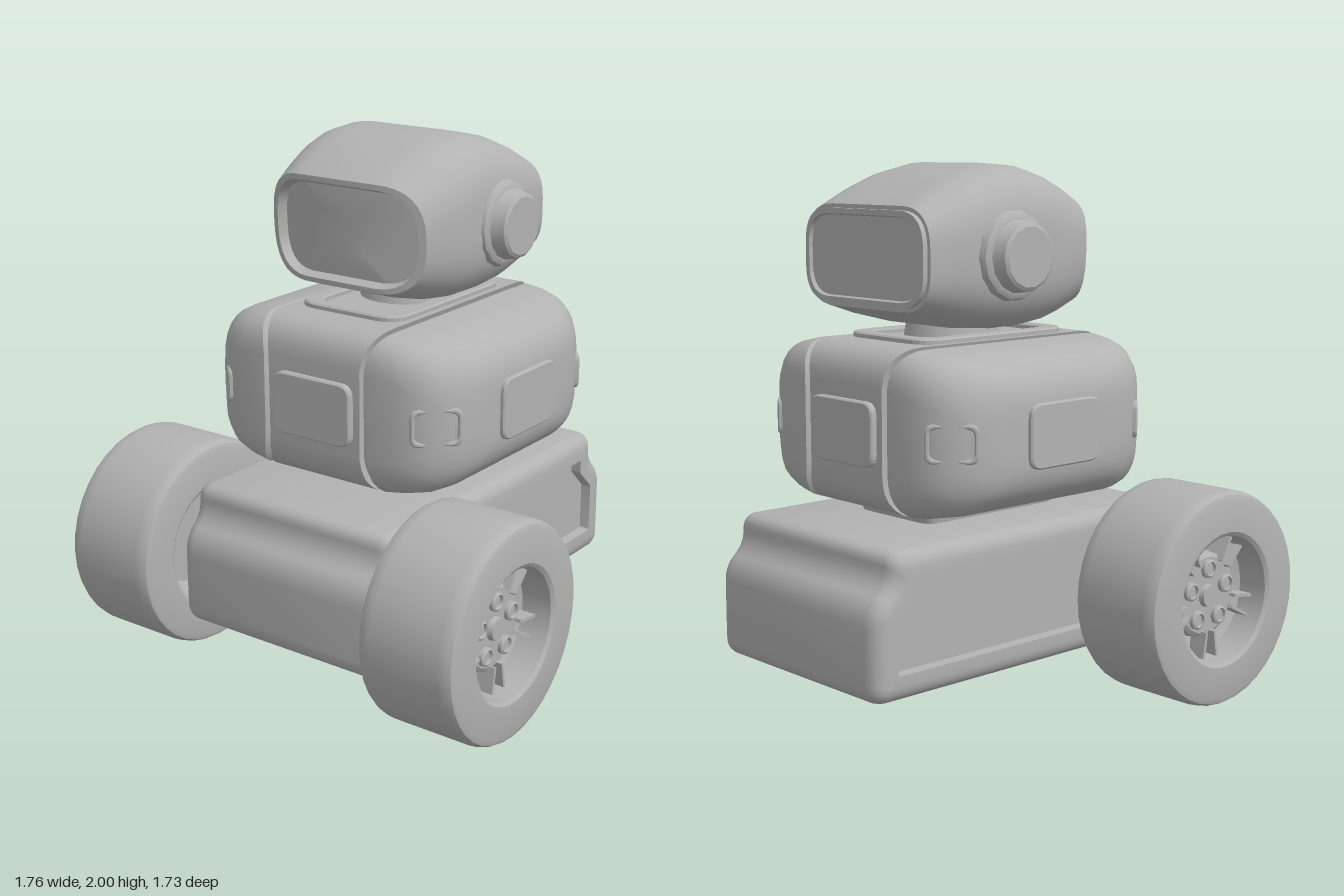
import * as THREE from 'three';
import { toCreasedNormals } from 'three/addons/utils/BufferGeometryUtils.js';

const shell = new THREE.MeshStandardMaterial({ color: 0xb2b2b2 });
shell.name = 'grey shell';
const CZ = -0.08; // middle of the body and base along z

// Polygon with every corner rounded by a quadratic curve
function roundPoly(pts, r, n = 6) {
  const out = [];
  pts.forEach((p, i) => {
    const a = pts[(i + pts.length - 1) % pts.length], b = pts[(i + 1) % pts.length];
    const toward = (q) => {
      const d = q.clone().sub(p), len = d.length();
      return p.clone().addScaledVector(d, Math.min(r, len * 0.49) / len);
    };
    out.push(...new THREE.QuadraticBezierCurve(toward(a), p, toward(b)).getPoints(n));
  });
  return out;
}

const V2 = (x, y) => new THREE.Vector2(x, y);
const rect = (hw, y0, y1, r, n) => roundPoly([V2(-hw, y0), V2(hw, y0), V2(hw, y1), V2(-hw, y1)], r, n);

// Move every edge of a counterclockwise polygon inward
function inset(pts, d) {
  return pts.map((p, i) => {
    const a = pts[(i + pts.length - 1) % pts.length], b = pts[(i + 1) % pts.length];
    const e = p.clone().sub(a).normalize(), f = b.clone().sub(p).normalize();
    const m = V2(-e.y - f.y, e.x + f.x);
    return p.clone().addScaledVector(m, d / (1 + e.dot(f)));
  });
}

// Closed solid through a list of equally long loops of Vector3
function loft(rings, angle = 0.6) {
  const n = rings[0].length, all = rings.flat(), idx = [];
  for (let i = 0; i < rings.length - 1; i++) for (let j = 0; j < n; j++) {
    const a = i * n + j, b = i * n + (j + 1) % n;
    idx.push(a, b, a + n, b, b + n, a + n);
  }
  for (const [k, flip] of [[0, true], [rings.length - 1, false]]) {
    const c = new THREE.Vector3();
    rings[k].forEach((p) => c.addScaledVector(p, 1 / n));
    all.push(c);
    for (let j = 0; j < n; j++) {
      const a = k * n + j, b = k * n + (j + 1) % n;
      idx.push(all.length - 1, flip ? b : a, flip ? a : b);
    }
  }
  // face outward whichever way the loops run
  let vol = 0;
  const x = new THREE.Vector3();
  for (let i = 0; i < idx.length; i += 3) vol += all[idx[i]].dot(x.crossVectors(all[idx[i + 1]], all[idx[i + 2]]));
  if (vol < 0) idx.reverse();
  const g = new THREE.BufferGeometry().setFromPoints(all);
  g.setIndex(idx);
  return toCreasedNormals(g, angle);
}

function add(parent, name, geometry, x = 0, y = 0, z = 0) {
  const m = new THREE.Mesh(geometry, shell);
  m.name = name;
  m.position.set(x, y, z);
  parent.add(m);
  return m;
}

// Round part turned about the x axis from [radius, x] pairs
const turned = (pts, seg) =>
  toCreasedNormals(new THREE.LatheGeometry(pts.map((p) => V2(...p)), seg).rotateZ(-Math.PI / 2), 0.5);

// Rounded plate, or frame when rim > 0, rising from z = 0
function plate(w, h, d, r, rim = 0) {
  const s = new THREE.Shape(rect(w / 2, -h / 2, h / 2, r));
  if (rim) s.holes.push(new THREE.Path(rect(w / 2 - rim, -h / 2 + rim, h / 2 - rim, r * 0.7).reverse()));
  return new THREE.ExtrudeGeometry(s, {
    depth: d - 0.006, bevelThickness: 0.006, bevelSize: 0.006, bevelOffset: -0.006, bevelSegments: 1,
  });
}

function makeBase() {
  const half = [[0.785, 0.18], [0.785, 0.52], [0.7, 0.6], [0.7, 0.71]];
  const outline = [...half.map((p) => V2(...p)), ...half.map(([s, y]) => V2(-s, y)).reverse()];
  // x and inset from the middle to the recessed side panel
  const side = [[0.4, 0], [0.423, 0.005], [0.443, 0.018], [0.456, 0.037], [0.46, 0.06], [0.46, 0.1], [0.42, 0.103]];
  const ring = ([x, d], s) =>
    roundPoly(inset(outline, d), Math.max(0.07 - d, 0.008)).map((p) => new THREE.Vector3(s * x, p.y, p.x + CZ));
  return loft([...[...side].reverse().map((p) => ring(p, -1)), ...side.map((p) => ring(p, 1))]);
}

function makeBody() {
  // x, half depth, bottom, top, corner radius
  const rows = [
    [0.2, 0.54, 0.76, 1.365, 0.14], [0.205, 0.52, 0.78, 1.345, 0.13], [0.225, 0.52, 0.78, 1.345, 0.13],
    [0.23, 0.54, 0.76, 1.36, 0.14], [0.34, 0.537, 0.768, 1.353, 0.15], [0.42, 0.517, 0.782, 1.338, 0.16],
    [0.475, 0.482, 0.805, 1.313, 0.16], [0.515, 0.435, 0.84, 1.28, 0.15], [0.54, 0.385, 0.873, 1.247, 0.14],
    [0.555, 0.32, 0.915, 1.205, 0.12], [0.56, 0.26, 0.95, 1.17, 0.1],
  ];
  const ring = ([x, hz, y0, y1, r], s) => rect(hz, y0, y1, r).map((p) => {
    const flare = x < 0.3 ? 0.05 * Math.abs((p.y - 1.06) / 0.3) ** 4 : 0; // seams spread at top and bottom
    return new THREE.Vector3(s * (x + flare), p.y, p.x + CZ);
  });
  return loft([...[...rows].reverse().map((p) => ring(p, -1)), ...rows.map((p) => ring(p, 1))]);
}

function makeHead() {
  // z, half width, bottom, top, corner radius
  const rows = [
    [-0.522, 0.15, 1.6, 1.74, 0.07], [-0.522, 0.305, 1.525, 1.815, 0.11], [-0.535, 0.31, 1.52, 1.82, 0.11],
    [-0.535, 0.33, 1.5, 1.84, 0.13], [-0.515, 0.33, 1.5, 1.84, 0.13], [-0.515, 0.345, 1.485, 1.855, 0.15],
    [-0.4, 0.375, 1.445, 1.915, 0.2], [-0.27, 0.393, 1.412, 1.967, 0.23], [-0.12, 0.4, 1.4, 2, 0.24],
    [0, 0.4, 1.402, 1.992, 0.24], [0.12, 0.393, 1.415, 1.96, 0.23], [0.23, 0.375, 1.44, 1.915, 0.21],
    [0.325, 0.345, 1.472, 1.868, 0.18], [0.325, 0.318, 1.49, 1.848, 0.16], [0.285, 0.3, 1.503, 1.833, 0.14],
    [0.285, 0.15, 1.59, 1.75, 0.07],
  ];
  // the front wraps back around the sides and leans slightly forward at the top
  return loft(rows.map(([z, hw, y0, y1, r]) => rect(hw, y0, y1, r, 8).map((p) => {
    const f = Math.max(0, Math.min(1, z / 0.28));
    return new THREE.Vector3(p.x, p.y, z + f * (0.05 * (p.y - 1.67) - 0.6 * p.x * p.x));
  })));
}

function makeWheel() {
  const g = new THREE.Group();
  add(g, 'tyre and rim', turned([
    [0, -0.065], [0.19, -0.065], [0.235, -0.105], [0.24, -0.185], [0.255, -0.195], [0.375, -0.195], [0.393, -0.188],
    [0.402, -0.172], [0.406, -0.14], [0.406, 0.14], [0.402, 0.172], [0.393, 0.188], [0.375, 0.195], [0.255, 0.195],
    [0.24, 0.185], [0.235, 0.07], [0.19, 0.05], [0, 0.05],
  ], 36));
  add(g, 'hub', turned([[0.165, 0.045], [0.16, 0.09], [0.145, 0.1], [0, 0.1]], 30));
  add(g, 'hubCap', turned([[0.045, 0.095], [0.04, 0.12], [0, 0.12]], 20));
  for (let k = 0; k < 5; k++) {
    const a = Math.PI / 2 + k * Math.PI * 0.4;
    add(g, 'wheelNut', turned([[0.035, 0.095], [0.035, 0.115], [0.027, 0.12], [0.025, 0.108], [0, 0.108]], 16),
      0, 0.103 * Math.sin(a), 0.103 * Math.cos(a));
    for (const d of [-0.16, 0.16]) {
      const b = a + Math.PI * 0.2 + d;
      add(g, 'spoke', new THREE.BoxGeometry(0.07, 0.012, 0.1), 0.09, 0.188 * Math.sin(b), 0.188 * Math.cos(b))
        .rotation.x = -b;
    }
  }
  return g;
}

export function createModel() {
  const model = new THREE.Group();
  model.name = 'robot';
  add(model, 'base', makeBase());
  add(model, 'waist', loft([[0.69, 0.2, 0.32], [0.735, 0.205, 0.33], [0.79, 0.225, 0.36]].map(([y, hx, hz]) =>
    rect(hx, -hz, hz, 0.06).map((p) => new THREE.Vector3(p.x, y, p.y + CZ)))));
  add(model, 'body', makeBody());

  // Collar frame and neck
  add(model, 'collar', plate(0.46, 0.72, 0.04, 0.1, 0.06), 0, 1.345, CZ).rotation.x = -Math.PI / 2;
  add(model, 'neck', new THREE.CylinderGeometry(0.165, 0.185, 0.11, 28), 0, 1.385, -0.11);

  add(model, 'head', makeHead());

  // Front and back panels
  add(model, 'frontPanel', plate(0.35, 0.235, 0.04, 0.05), 0, 1.057, 0.445);
  add(model, 'backPanel', plate(0.35, 0.235, 0.04, 0.05), 0, 1.057, -0.605).rotation.y = Math.PI;

  for (const s of [1, -1]) {
    const side = s > 0 ? 'left' : 'right', turn = s > 0 ? 0 : Math.PI;
    const wheel = makeWheel();
    wheel.name = side + 'Wheel';
    wheel.position.set(s * 0.685, 0.408, 0.46);
    wheel.rotation.y = turn;
    model.add(wheel);

    add(model, side + 'Ear', turned([
      [0.16, 0.34], [0.162, 0.39], [0.155, 0.41], [0.143, 0.418], [0.132, 0.42], [0.12, 0.47], [0.108, 0.478], [0, 0.478],
    ], 14), 0, 1.677, -0.165).rotation.y = turn;

    add(model, side + 'Panel', plate(0.345, 0.235, 0.04, 0.05), s * 0.538, 1.057, CZ).rotation.y = s * Math.PI / 2;

    // Framed lamps on the four corners
    for (const f of [1, -1]) {
      const lamp = new THREE.Group();
      lamp.name = side + (f > 0 ? 'Front' : 'Back') + 'Lamp';
      lamp.position.set(s * 0.465, 1.057, CZ + f * 0.445);
      lamp.rotation.y = Math.atan2(s, f);
      add(lamp, 'lampFrame', plate(0.19, 0.14, 0.03, 0.035, 0.018));
      add(lamp, 'lampLens', plate(0.155, 0.105, 0.02, 0.02));
      model.add(lamp);
    }
  }
  return model;
}
